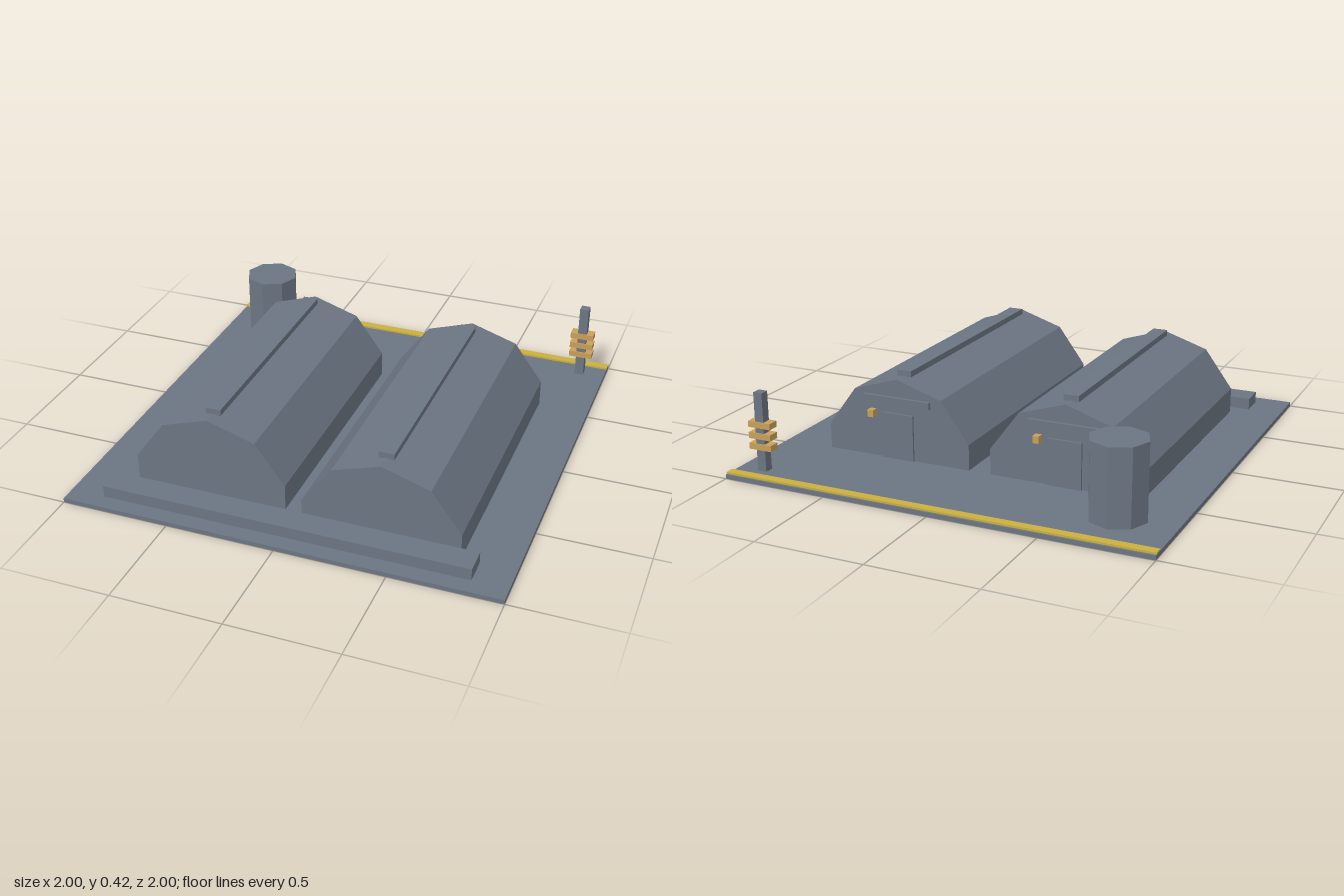
import * as THREE from 'three';

const mat = (name, color) => {
  const m = new THREE.MeshStandardMaterial({ color, flatShading: true });
  m.name = name;
  return m;
};

export function createModel() {
  const slate = mat('slateGrey', 0x6b7582);
  const tan = mat('tanBrass', 0xc8a05a);
  const yellow = mat('markingYellow', 0xc9b040);
  const model = new THREE.Group();
  model.name = 'hangarBase';

  const add = (parent, name, geometry, material) => {
    const mesh = new THREE.Mesh(geometry, material);
    mesh.name = name;
    parent.add(mesh);
    return mesh;
  };
  // Box given by its minimum and maximum on each axis
  const box = (parent, name, material, [x0, x1], [y0, y1], [z0, z1]) =>
    add(parent, name, new THREE.BoxGeometry(x1 - x0, y1 - y0, z1 - z0), material)
      .position.set((x0 + x1) / 2, (y0 + y1) / 2, (z0 + z1) / 2);

  // Ground slab, edge stripe and low front wall
  box(model, 'groundSlab', slate, [-1, 1], [0, 0.02], [-1, 1]);
  box(model, 'edgeStripe', yellow, [-1, 1], [0.02, 0.029], [-0.992, -0.95]);
  box(model, 'frontWall', slate, [-0.84, 0.84], [0.02, 0.075], [0.805, 0.925]);

  // Faceted hall with ridge cap, rear door, canopy and lamp
  const profile = [[0.355, 0.02], [0.355, 0.14], [0.218, 0.325], [0, 0.395],
    [-0.218, 0.325], [-0.355, 0.14], [-0.355, 0.02]];
  const hall = (name, x, back, front, ridgeZ) => {
    const g = new THREE.Group();
    g.name = name;
    g.position.x = x;
    model.add(g);
    const shape = new THREE.Shape(profile.map(([px, py]) => new THREE.Vector2(px, py)));
    const shell = new THREE.ExtrudeGeometry(shape, { depth: front - back, bevelEnabled: false });
    add(g, 'hallShell', shell, slate).position.z = back;
    box(g, 'ridgeCap', slate, [-0.035, 0.035], [0.39, 0.418], ridgeZ);
    box(g, 'rearDoor', slate, [-0.08, 0.08], [0.02, 0.235], [back - 0.01, back]);
    box(g, 'doorCanopy', slate, [-0.167, 0.167], [0.278, 0.312], [back - 0.017, back]);
    box(g, 'doorLamp', tan, [0.108, 0.137], [0.212, 0.245], [back - 0.034, back]);
  };
  hall('rightHall', -0.41, -0.513, 0.735, [-0.45, 0.672]);
  hall('leftHall', 0.405, -0.513, 0.805, [-0.445, 0.735]);

  // Octagonal storage tank
  add(model, 'storageTank', new THREE.CylinderGeometry(0.13, 0.13, 0.35, 8), slate)
    .position.set(-0.735, 0.195, -0.72);

  // Signal mast with three crossbars
  const mast = new THREE.Group();
  mast.name = 'signalMast';
  model.add(mast);
  box(mast, 'mastPole', slate, [0.855, 0.898], [0.02, 0.385], [-0.901, -0.858]);
  for (const y of [0.134, 0.184, 0.236])
    box(mast, 'crossbar', tan, [0.82, 0.932], [y - 0.014, y + 0.014], [-0.906, -0.853]);

  return model;
}
